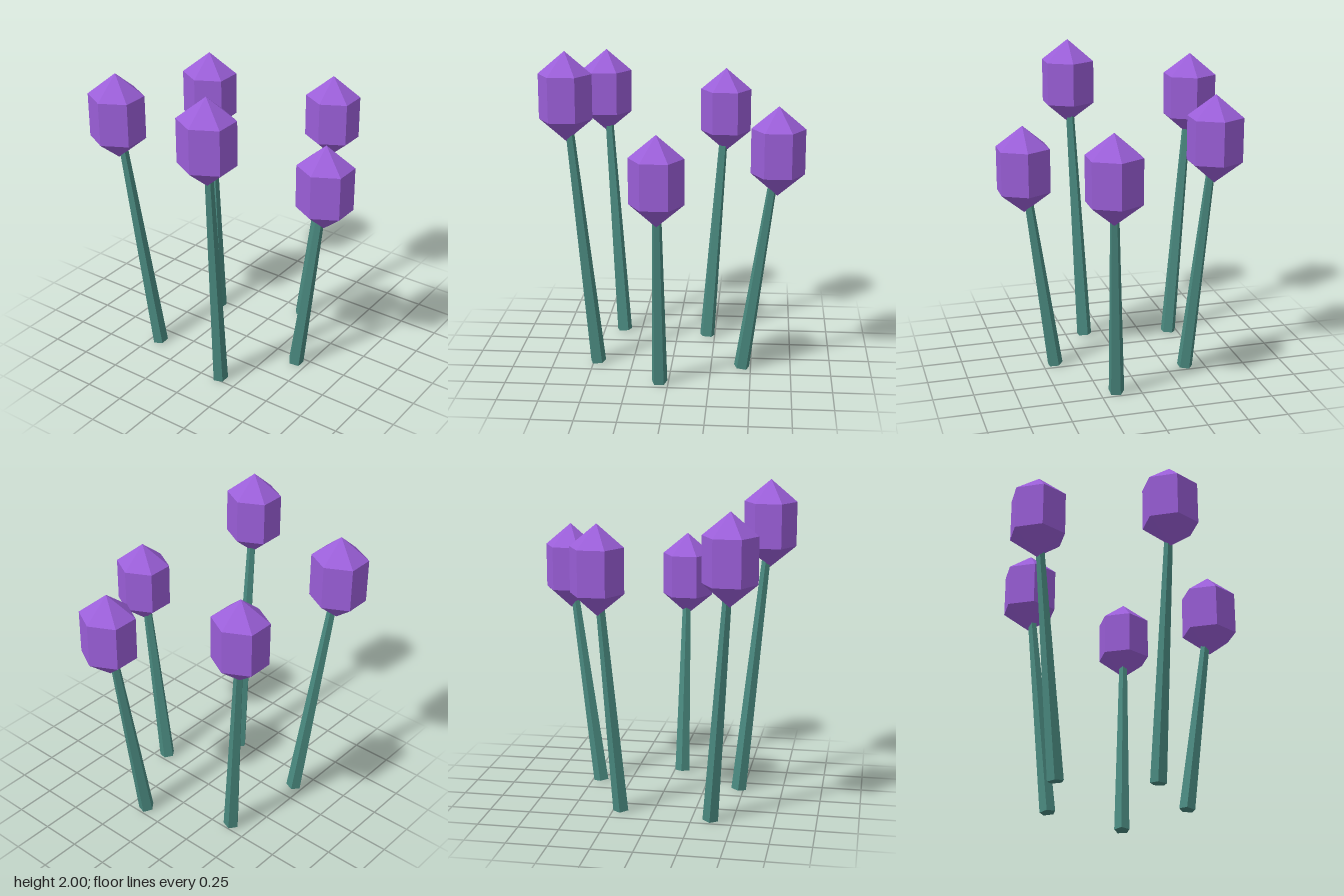
import * as THREE from 'three';

const stemMaterial = new THREE.MeshStandardMaterial({ color: 0x4a8a80, flatShading: true });
const budMaterial = new THREE.MeshStandardMaterial({ color: 0x9b5fd9, flatShading: true });

// Foot of each stem on the ground, and centre of its bud
const flowers = [
  { foot: [0.424, 0.054], bud: [0.6, 1.32, 0.054] },
  { foot: [0.15, -0.443], bud: [0.215, 1.42, -0.643] },
  { foot: [-0.371, -0.2], bud: [-0.505, 1.525, -0.305] },
  { foot: [-0.438, 0.366], bud: [-0.604, 1.625, 0.486] },
  { foot: [0.128, 0.471], bud: [0.179, 1.727, 0.637] },
];

// Faceted hexagonal bud with pointed ends
function budGeometry() {
  return new THREE.SphereGeometry(1, 6, 3).rotateY(Math.PI / 2).scale(0.2015, 0.273, 0.1875);
}

// Five-sided tapering stem leaning from its foot to the bud
function makeStem(foot, top) {
  const axis = top.clone().sub(foot);
  const length = axis.length();
  const geometry = new THREE.CylinderGeometry(0.024, 0.05, length, 5)
    .rotateY(-Math.PI / 2)
    .translate(0, length / 2, 0);
  const stem = new THREE.Mesh(geometry, stemMaterial);
  stem.name = 'stem';
  stem.position.copy(foot);
  stem.quaternion.setFromUnitVectors(new THREE.Vector3(0, 1, 0), axis.normalize());
  return stem;
}

export function createModel() {
  const model = new THREE.Group();
  model.name = 'flowerCluster';
  const geometry = budGeometry();
  for (const { foot, bud } of flowers) {
    const flower = new THREE.Group();
    flower.name = 'flower';
    const head = new THREE.Mesh(geometry, budMaterial);
    head.name = 'bud';
    head.position.set(...bud);
    flower.add(makeStem(new THREE.Vector3(foot[0], 0.007, foot[1]), head.position), head);
    model.add(flower);
  }
  return model;
}
